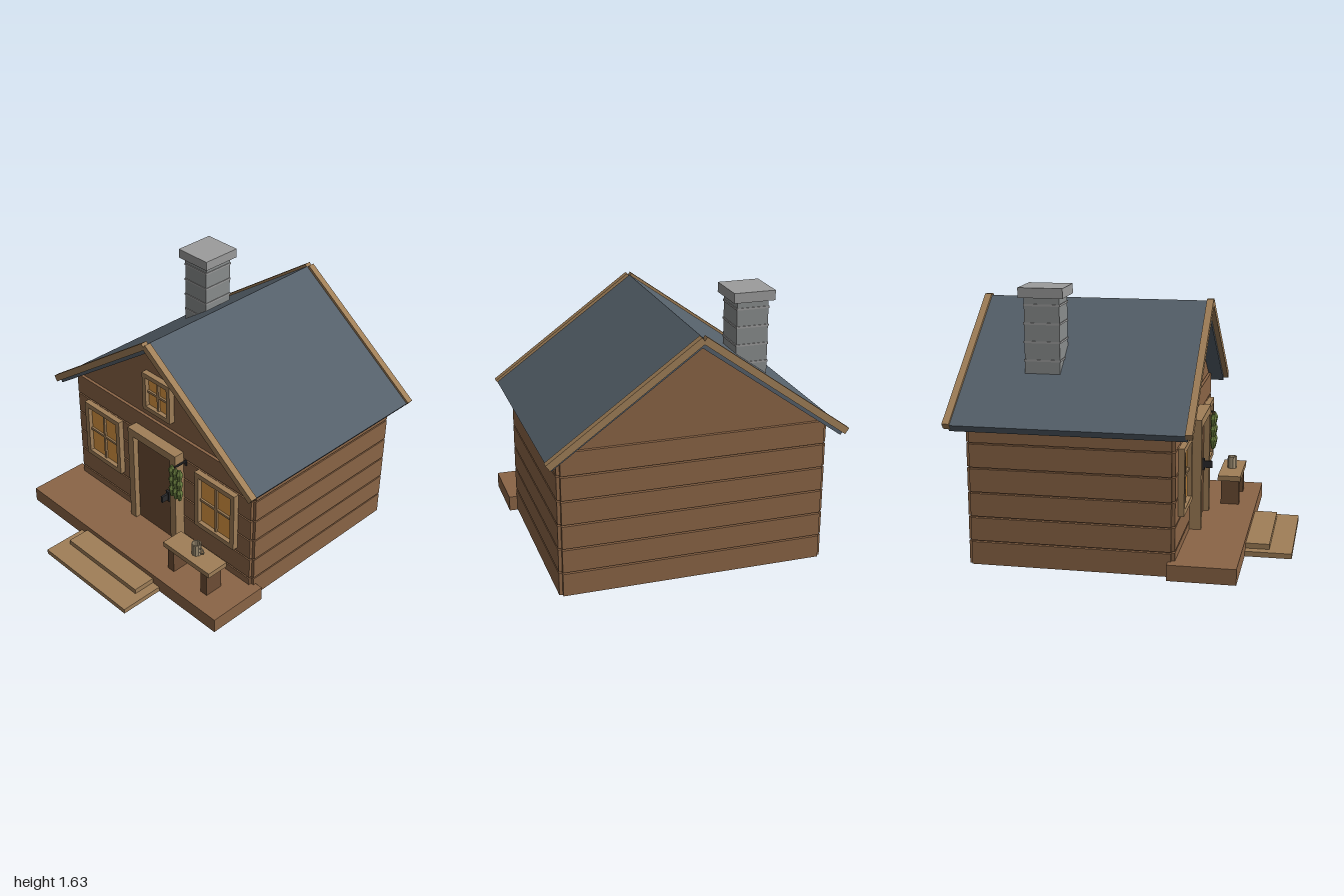
import * as THREE from 'three';

const mat = (color) => new THREE.MeshStandardMaterial({ color, flatShading: true });

export function createModel() {
  const cabin = new THREE.Group();
  cabin.name = 'cabin';
  const M = {
    log: mat(0x8b6546), trim: mat(0xa07f58), door: mat(0x6e4e35), glass: mat(0xe29c45),
    roof: mat(0x55606a), stone: mat(0x8a8d8d), cap: mat(0x9c9c9c), iron: mat(0x2a2a2c),
    herb: mat(0x6b8040), mug: mat(0xa8977a),
  };

  const group = (name, parent = cabin) => {
    const g = new THREE.Group();
    g.name = name;
    parent.add(g);
    return g;
  };
  const add = (name, geometry, material, parent = cabin) => {
    const m = new THREE.Mesh(geometry, material);
    m.name = name;
    parent.add(m);
    return m;
  };
  // Box given by its extents on each axis
  const box = (name, material, [x0, x1], [y0, y1], [z0, z1], parent) => {
    const m = add(name, new THREE.BoxGeometry(x1 - x0, y1 - y0, z1 - z0), material, parent);
    m.position.set((x0 + x1) / 2, (y0 + y1) / 2, (z0 + z1) / 2);
    return m;
  };

  // Walls: a recessed core with log courses standing proud on all four sides
  const walls = group('walls');
  box('wallCore', M.log, [-0.795, 0.795], [0, 0.9], [-0.87, 0.33], walls);
  for (let i = 0; i < 6; i++) {
    const y = [i * 0.15 + 0.005, i * 0.15 + 0.145];
    box('endLog', M.log, [-0.795, 0.795], y, [-0.89, 0.35], walls);
    box('sideLog', M.log, [-0.815, 0.815], y, [-0.87, 0.33], walls);
  }

  // Gable: triangular prism under the roof
  const tri = new THREE.Shape([
    new THREE.Vector2(-0.79, 0.9), new THREE.Vector2(0.79, 0.9), new THREE.Vector2(0, 1.465),
  ]);
  const gable = add('gable', new THREE.ExtrudeGeometry(tri, { depth: 1.21, bevelEnabled: false }), M.log);
  gable.position.z = -0.875;

  // Roof slabs and barge boards: sloping boxes defined by their top edge
  const slope = (name, material, side, [x0, y0], [x1, y1], t, [z0, z1], parent) => {
    const a = Math.atan2(y0 - y1, x1 - x0);
    const m = add(name, new THREE.BoxGeometry(Math.hypot(x1 - x0, y1 - y0), t, z1 - z0), material, parent);
    m.position.set(
      side * ((x0 + x1) / 2 - Math.sin(a) * t / 2),
      (y0 + y1) / 2 - Math.cos(a) * t / 2,
      (z0 + z1) / 2);
    m.rotation.z = -side * a;
  };
  const roof = group('roof');
  for (const s of [-1, 1]) {
    slope('roofSlab', M.roof, s, [0, 1.507], [0.89, 0.87], 0.049, [-0.968, 0.428], roof);
    for (const z of [[0.418, 0.46], [-1, -0.958]]) {
      slope('bargeBoard', M.trim, s, [0.015, 1.518], [0.9, 0.88], 0.042, z, roof);
    }
  }

  // Chimney with mortar bands and a cap
  const chimney = group('chimney');
  box('chimneyShaft', M.stone, [-0.54, -0.345], [1.0, 1.58], [-0.597, -0.383], chimney);
  for (let i = 0; i < 4; i++) {
    const y = 1.2 + i * 0.11;
    box('chimneyBand', M.cap, [-0.544, -0.341], [y - 0.006, y + 0.006], [-0.601, -0.379], chimney);
  }
  box('chimneyCap', M.cap, [-0.57, -0.315], [1.575, 1.635], [-0.625, -0.355], chimney);

  // Porch and steps
  box('porch', M.log, [-0.867, 0.867], [0, 0.097], [0.31, 0.715]);
  box('lowerStep', M.trim, [-0.378, 0.378], [0, 0.032], [0.71, 1]);
  box('upperStep', M.trim, [-0.32, 0.32], [0.032, 0.065], [0.71, 0.86]);

  // Door
  const door = group('door');
  box('doorPanel', M.door, [-0.17, 0.17], [0.097, 0.75], [0.33, 0.385], door);
  for (const s of [-1, 1]) {
    box('doorPost', M.trim, [s * 0.193 - 0.025, s * 0.193 + 0.025], [0.097, 0.75], [0.33, 0.422], door);
  }
  box('doorLintel', M.trim, [-0.218, 0.218], [0.747, 0.8], [0.33, 0.422], door);
  box('handlePlate', M.iron, [0.104, 0.134], [0.39, 0.465], [0.385, 0.4], door);
  box('handleGrip', M.iron, [0.112, 0.126], [0.405, 0.45], [0.4, 0.45], door);

  // Windows: frame with a hole, glowing pane and crossed bars
  const makeWindow = (name, x, y, z, w, h, border) => {
    const g = group(name);
    g.position.set(x, y, z);
    const rect = (C, a, b) => new C([
      new THREE.Vector2(-a, -b), new THREE.Vector2(a, -b), new THREE.Vector2(a, b), new THREE.Vector2(-a, b),
    ]);
    const a = w / 2 - border, b = h / 2 - border;
    const frame = rect(THREE.Shape, w / 2, h / 2);
    frame.holes.push(rect(THREE.Path, a, b));
    add('windowFrame', new THREE.ExtrudeGeometry(frame, { depth: 0.04, bevelEnabled: false }), M.trim, g);
    box('windowPane', M.glass, [-a, a], [-b, b], [-0.01, 0.012], g);
    box('verticalBar', M.trim, [-0.008, 0.008], [-b, b], [0, 0.025], g);
    box('horizontalBar', M.trim, [-a, a], [-0.008, 0.008], [0, 0.025], g);
  };
  for (const s of [-1, 1]) makeWindow(s < 0 ? 'rightWindow' : 'leftWindow', s * 0.52, 0.538, 0.346, 0.34, 0.41, 0.034);
  makeWindow('atticWindow', 0, 1.1, 0.333, 0.245, 0.265, 0.03);

  // Bench
  const bench = group('bench');
  box('benchSeat', M.trim, [0.31, 0.712], [0.263, 0.297], [0.463, 0.613], bench);
  for (const x of [0.365, 0.658]) {
    box('benchLeg', M.door, [x - 0.026, x + 0.026], [0.097, 0.263], [0.482, 0.602], bench);
  }

  // Mug on the bench, hollow with a thin wall
  const mug = group('mug');
  mug.position.set(0.525, 0.297, 0.535);
  const wall = [[0, 0], [0.031, 0], [0.031, 0.08], [0.024, 0.08], [0.024, 0.012], [0, 0.012]];
  add('mugCup', new THREE.LatheGeometry(wall.map((p) => new THREE.Vector2(...p)), 10), M.mug, mug);
  const handle = add('mugHandle', new THREE.TorusGeometry(0.02, 0.005, 5, 8), M.mug, mug);
  handle.position.set(0.043, 0.041, 0);

  // Hanging herb bundle on an iron hook
  const herbs = group('herbBundle');
  herbs.position.set(0.242, 0, 0.44);
  box('hookPlate', M.iron, [-0.008, 0.008], [0.715, 0.755], [-0.09, -0.082], herbs);
  box('hookArm', M.iron, [-0.005, 0.005], [0.743, 0.753], [-0.09, 0.006], herbs);
  const cord = add('cord', new THREE.CylinderGeometry(0.006, 0.006, 0.24, 6), M.trim, herbs);
  cord.position.y = 0.63;
  const leaf = new THREE.LatheGeometry(
    [[0, 0], [0.011, 0], [0.023, 0.058], [0.009, 0.088], [0, 0.088]].map((p) => new THREE.Vector2(...p)), 6);
  for (let row = 0; row < 3; row++) {
    for (let col = -1; col <= 1; col++) {
      const sprig = add('herbSprig', leaf, M.herb, herbs);
      sprig.position.set(col * 0.034, 0.51 + row * 0.071 - (col === 0 ? 0.005 : 0), 0);
    }
  }

  return cabin;
}
